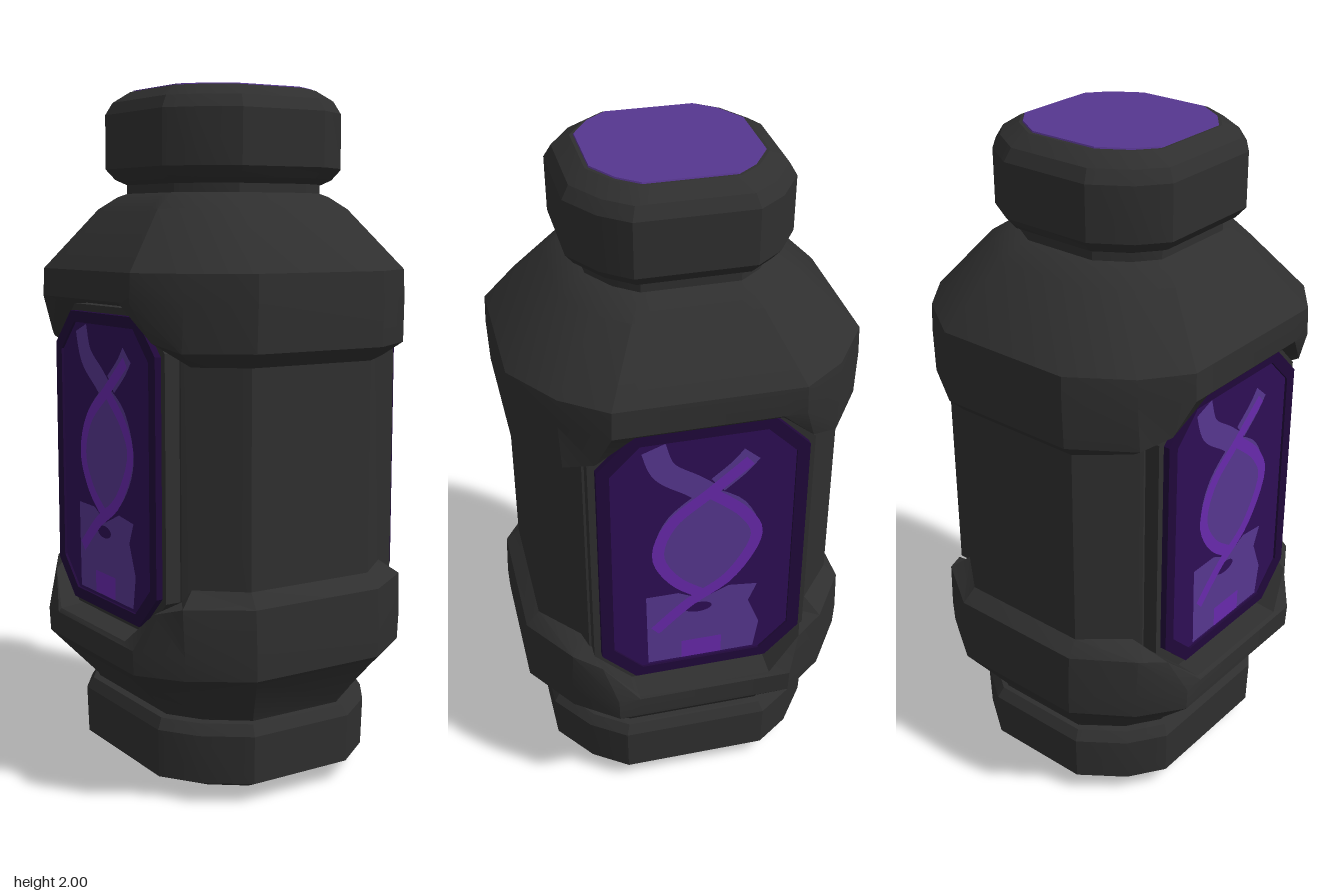
import * as THREE from 'three';
import { toCreasedNormals } from 'three/addons/utils/BufferGeometryUtils.js';

const mat = (name, color, side = THREE.FrontSide) => {
  const m = new THREE.MeshStandardMaterial({ color, side });
  m.name = name;
  return m;
};

// Quarter section of the twelve-sided outline, from side flat to front flat
const section = (y, X, Z) => [
  [X, y, 0.4 * Z], [X, y, 0.53 * Z], [0.8 * X, y, 0.78 * Z], [0.45 * X, y, Z],
];

// Closed skin through quarter sections, bottom to top, mirrored to all four quarters
function loft(rows) {
  const rings = rows.map((q) => {
    const half = [...q, ...[...q].reverse().map(([x, y, z]) => [-x, y, z])];
    return [...half, ...[...half].reverse().map(([x, y, z]) => [x, y, -z])];
  });
  const n = rings[0].length;
  const pos = rings.flat(2);
  const index = [];
  for (let r = 0; r < rings.length - 1; r++) {
    for (let i = 0; i < n; i++) {
      const a = r * n + i, b = r * n + ((i + 1) % n);
      index.push(a, a + n, b + n, a, b + n, b);
    }
  }
  const bottom = rings.length * n, top = bottom + 1, last = (rings.length - 1) * n;
  pos.push(0, rows[0][0][1], 0, 0, rows[rows.length - 1][0][1], 0);
  for (let i = 0; i < n; i++) {
    const j = (i + 1) % n;
    index.push(bottom, i, j, top, last + j, last + i);
  }
  const g = new THREE.BufferGeometry();
  g.setAttribute('position', new THREE.Float32BufferAttribute(pos, 3));
  g.setIndex(index);
  return toCreasedNormals(g, 0.45);
}

// Window octagon with cut corners
const MID = 0.935;
function octagon(w, h, cut = 0.1) {
  return new THREE.Shape([
    [w, h - cut], [w - cut, h], [cut - w, h], [-w, h - cut],
    [-w, cut - h], [cut - w, -h], [w - cut, -h], [w, cut - h],
  ].map(([x, y]) => new THREE.Vector2(x, y + MID)));
}

const vectors = (pts) => pts.map(([x, y]) => new THREE.Vector2(x, y));

// Flat ribbon of even width along a smooth path
function ribbon(points, width) {
  const curve = new THREE.SplineCurve(vectors(points));
  const left = [], right = [];
  for (let i = 0; i <= 24; i++) {
    const p = curve.getPoint(i / 24), t = curve.getTangent(i / 24);
    const n = new THREE.Vector2(-t.y, t.x).multiplyScalar(width / 2);
    left.push(p.clone().add(n));
    right.unshift(p.clone().sub(n));
  }
  return new THREE.Shape([...left, ...right]);
}

// Smooth closed outline
const blob = (points) => {
  const c = new THREE.SplineCurve(vectors([...points, points[0]]));
  return new THREE.Shape(c.getPoints(40));
};

export function createModel() {
  const shell = mat('charcoal shell', 0x2f2f2f);
  const lilac = mat('soft purple', 0x56368f, THREE.DoubleSide);
  const bright = mat('bright purple', 0x6829ac, THREE.DoubleSide);
  const deep = mat('deep purple', 0x2e0e55);
  const dark = mat('dark purple frame', 0x20083a);

  const model = new THREE.Group();
  const add = (parent, name, geometry, material) => {
    const mesh = new THREE.Mesh(geometry, material);
    mesh.name = name;
    parent.add(mesh);
    return mesh;
  };

  // Body: shoulder rims notch around the windows, so heights vary along the section
  const waist = [[0.345, 1.39, 0.2], [0.345, 1.275, 0.325], [0.325, 1.24, 0.345], [0.2, 1.24, 0.45]];
  const rim = [[0.455, 1.4, 0.2], [0.42, 1.305, 0.3], [0.375, 1.28, 0.38], [0.21, 1.28, 0.49]];
  const flip = (q) => q.map(([x, y, z]) => [x, 2 * MID - y, z]);
  add(model, 'body', loft([
    section(0.2, 0.31, 0.37),
    section(0.245, 0.33, 0.385),
    section(0.39, 0.462, 0.492),
    section(0.46, 0.465, 0.495),
    flip(rim), flip(waist), waist, rim,
    section(1.41, 0.465, 0.495),
    section(1.49, 0.462, 0.492),
    section(1.66, 0.325, 0.33),
    section(1.695, 0.275, 0.28),
    section(1.705, 0.25, 0.255),
    section(1.78, 0.25, 0.255),
  ]), shell);

  // Foot
  add(model, 'base', loft([
    section(0, 0.18, 0.2), section(0.015, 0.27, 0.32), section(0.06, 0.358, 0.41),
    section(0.2, 0.362, 0.415), section(0.23, 0.345, 0.395), section(0.24, 0.31, 0.36),
  ]), shell);

  // Cap with coloured top
  add(model, 'cap', loft([
    section(1.73, 0.25, 0.255), section(1.745, 0.28, 0.285), section(1.775, 0.305, 0.308),
    section(1.93, 0.304, 0.31), section(1.965, 0.285, 0.29), section(1.996, 0.24, 0.243),
  ]), shell);
  add(model, 'capTop', loft([section(1.992, 0.235, 0.235), section(2, 0.232, 0.232)]), lilac);

  // Artwork shapes: x runs across the window, y is height
  const lens = blob([[0.01, 1.17], [0.12, 1.1], [0.17, 0.97], [0.11, 0.85], [0, 0.78],
    [-0.1, 0.85], [-0.14, 0.97], [-0.1, 1.08]]);
  const pool = new THREE.Shape(vectors([[-0.16, 0.545], [0.16, 0.545], [0.175, 0.64], [0.14, 0.73],
    [0.165, 0.79], [0.08, 0.8], [0, 0.765], [-0.07, 0.8], [-0.165, 0.8]]));
  pool.holes.push(new THREE.Path().absellipse(-0.01, 0.735, 0.04, 0.018, 0, Math.PI * 2));
  const softArt = [
    lens, pool,
    ribbon([[-0.14, 1.32], [-0.11, 1.24], [-0.03, 1.18], [0.02, 1.14]], 0.07),
    ribbon([[0.135, 1.26], [0.1, 1.22], [0.04, 1.17]], 0.06),
  ];
  const brightArt = [
    ribbon([[0.13, 1.24], [0.02, 1.15], [-0.09, 1.06], [-0.13, 0.95], [-0.08, 0.85], [0.01, 0.78]], 0.035),
    ribbon([[0.03, 1.14], [0.12, 1.06], [0.155, 0.97], [0.08, 0.84], [-0.04, 0.76], [-0.14, 0.67]], 0.035),
    ribbon([[-0.06, 0.58], [0.06, 0.58]], 0.065),
  ];

  const plate = (shape, from, to) =>
    new THREE.ExtrudeGeometry(shape, { depth: to - from, bevelEnabled: false }).translate(0, 0, from);

  // Side windows
  for (const side of [1, -1]) {
    const win = new THREE.Group();
    win.name = side > 0 ? 'leftWindow' : 'rightWindow';
    win.rotation.y = side * Math.PI / 2;
    model.add(win);
    add(win, 'windowSurround', plate(octagon(0.318, 0.452, 0.11), 0.33, 0.39), shell);
    const frame = octagon(0.298, 0.432);
    frame.holes.push(octagon(0.262, 0.4, 0.085));
    add(win, 'windowFrame', plate(frame, 0.385, 0.409), dark);
    add(win, 'windowPane', plate(octagon(0.27, 0.408, 0.09), 0.385, 0.402), deep);
    add(win, 'helixFill', new THREE.ShapeGeometry(softArt).translate(0, 0, 0.405), lilac);
    add(win, 'helixStrands', new THREE.ShapeGeometry(brightArt).translate(0, 0, 0.408), bright);
  }
  return model;
}
